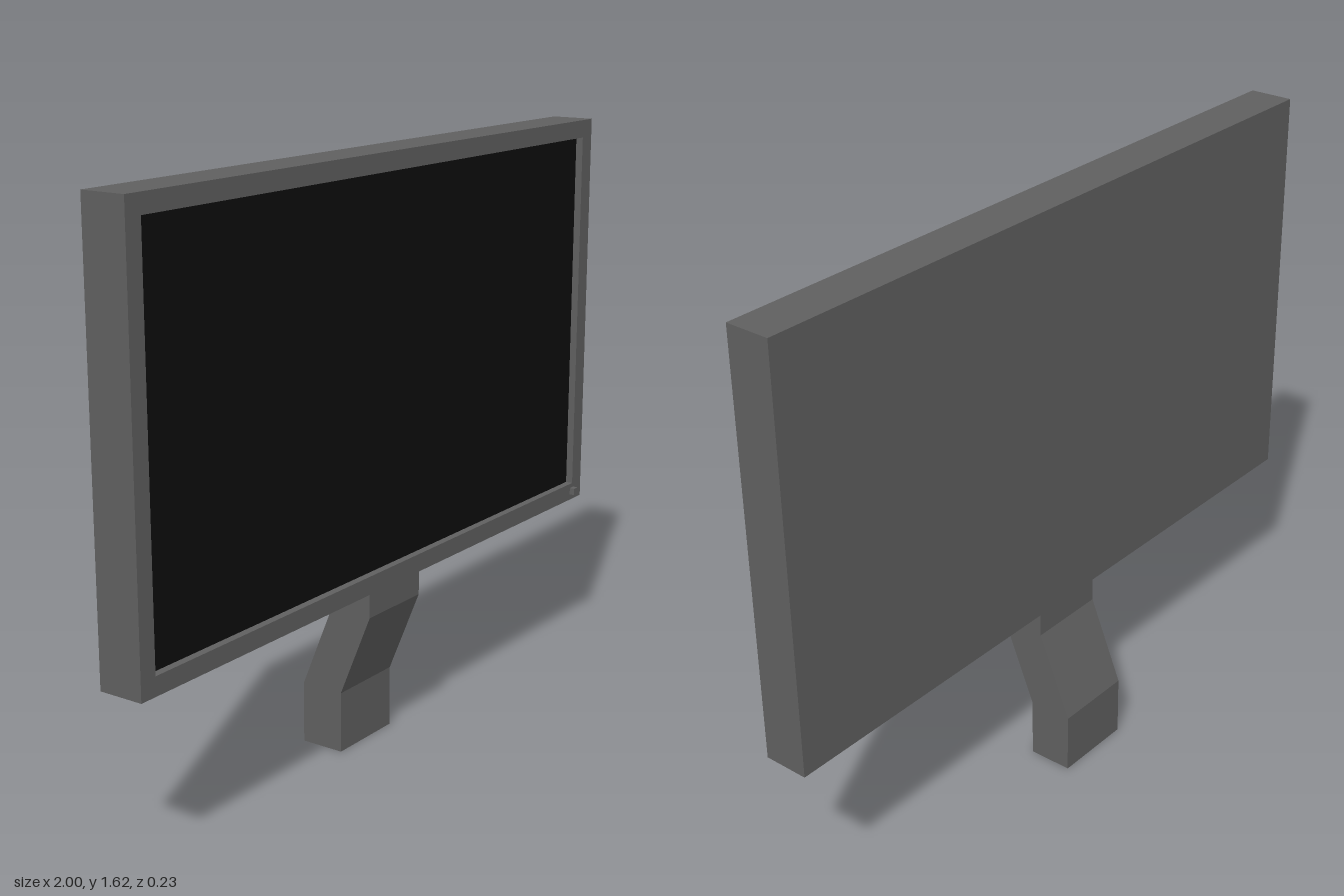
import * as THREE from 'three';

export function createModel() {
  const model = new THREE.Group();
  model.name = 'monitor';

  const casing = new THREE.MeshStandardMaterial({ color: 0x606060 });
  casing.name = 'casing grey';
  const glass = new THREE.MeshStandardMaterial({ color: 0x0d0d0d });
  glass.name = 'screen black';

  const add = (name, geometry, material, x = 0, y = 0, z = 0) => {
    const mesh = new THREE.Mesh(geometry, material);
    mesh.name = name;
    mesh.position.set(x, y, z);
    model.add(mesh);
  };
  const outline = (Type, w, h) => new Type([
    [-w / 2, -h / 2], [w / 2, -h / 2], [w / 2, h / 2], [-w / 2, h / 2],
  ].map(([x, y]) => new THREE.Vector2(x, y)));

  // Main dimensions
  const bottom = 0.47, top = 1.615, back = -0.02, front = 0.105;
  const border = 0.05, recess = 0.025;
  const height = top - bottom, middle = (top + bottom) / 2;
  const recessZ = front - recess;

  // Solid rear casing
  add('rearCasing', new THREE.BoxGeometry(2, height, recessZ - back), casing,
    0, middle, (recessZ + back) / 2);

  // Raised bezel around the recessed screen
  const bezel = outline(THREE.Shape, 2, height);
  bezel.holes.push(outline(THREE.Path, 2 - 2 * border, height - 2 * border));
  add('bezel', new THREE.ExtrudeGeometry(bezel, { depth: recess, bevelEnabled: false }),
    casing, 0, middle, recessZ);

  // Screen, a thin plate on the recess floor
  add('screen', new THREE.BoxGeometry(2 - 2 * border, height - 2 * border, 0.004), glass,
    0, middle, recessZ + 0.002);

  // Power button on the lower left corner of the bezel
  add('powerButton', new THREE.BoxGeometry(0.02, 0.02, 0.015), casing,
    0.947, 0.497, front + 0.0075);

  // Cranked stand: side profile in (z, y), extruded across the width
  const width = 0.23;
  const profile = new THREE.Shape([
    [-0.115, 0], [0.01, 0], [0.01, 0.17], [front, 0.405],
    [front, bottom], [back, bottom], [back, 0.405], [-0.115, 0.17],
  ].map(([z, y]) => new THREE.Vector2(z, y)));
  const stand = new THREE.ExtrudeGeometry(profile, { depth: width, bevelEnabled: false });
  stand.translate(0, 0, -width / 2).rotateY(-Math.PI / 2);
  add('stand', stand, casing);

  return model;
}
